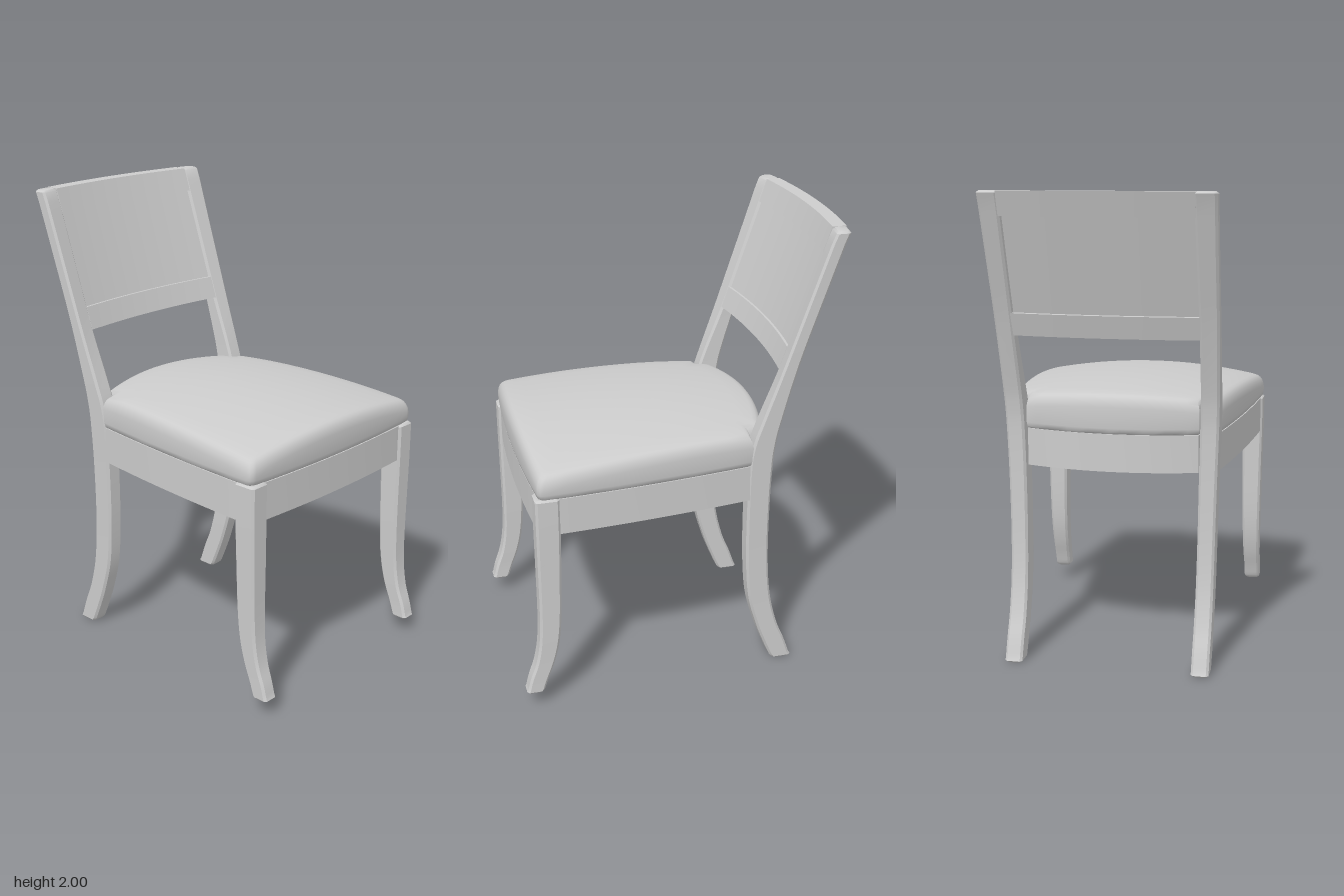
import * as THREE from 'three';
import { toCreasedNormals } from 'three/addons/utils/BufferGeometryUtils.js';

const paint = new THREE.MeshStandardMaterial({ color: 0xcccccc });
paint.name = 'pale grey';

// Closed skin over rising rings of equal length, capped at both ends
function loft(rings, crease) {
  const n = rings[0].length, pos = rings.flat().flatMap(p => [p.x, p.y, p.z]), idx = [];
  for (let j = 0; j < rings.length - 1; j++)
    for (let i = 0; i < n; i++) {
      const a = j * n + i, b = j * n + (i + 1) % n;
      idx.push(a, b, b + n, a, b + n, a + n);
    }
  [rings[0], rings.at(-1)].forEach((ring, end) => {
    const c = ring.reduce((s, p) => s.add(p), new THREE.Vector3()).divideScalar(n);
    const base = end ? (rings.length - 1) * n : 0, ci = pos.length / 3;
    pos.push(c.x, c.y, c.z);
    for (let i = 0; i < n; i++) {
      const a = base + i, b = base + (i + 1) % n;
      end ? idx.push(a, b, ci) : idx.push(b, a, ci);
    }
  });
  const g = new THREE.BufferGeometry();
  g.setAttribute('position', new THREE.Float32BufferAttribute(pos, 3));
  g.setIndex(idx);
  return toCreasedNormals(g, crease);
}

// The backrest leans backwards and bows away in the middle
const lean = y => -0.605 + (2 - y) * 0.341;
const bow = x => 0.04 * (1 - (x / 0.475) ** 2);

// Leg with a bevelled square section; stations are [y, zFront, zBack, xInner, xOuter]
function leg(stations, side, steps, bowed) {
  const path = (xi, zi) => new THREE.CatmullRomCurve3(
    stations.map(s => new THREE.Vector3(s[xi], s[0], s[zi])), false, 'catmullrom', 0.5);
  const inner = path(3, 1), outer = path(4, 2), rings = [];
  const section = (t, shrink, dy) => {
    const a = inner.getPoint(t), b = outer.getPoint(t), r = 0.01, y = a.y + dy;
    const xi = a.x + shrink, xo = b.x - shrink, zf = a.z - shrink, zb = b.z + shrink;
    const w = bowed ? THREE.MathUtils.smoothstep(y, 1.15, 1.45) : 0;
    const ring = [[xi + r, zf], [xo - r, zf], [xo, zf - r], [xo, zb + r],
      [xo - r, zb], [xi + r, zb], [xi, zb + r], [xi, zf - r]]
      .map(([x, z]) => new THREE.Vector3(x * side, y, z - w * bow(x)));
    rings.push(side > 0 ? ring : ring.reverse());
  };
  section(0, 0.008, 0);
  for (let i = 0; i <= steps; i++) section(i / steps, 0, i === 0 ? 0.008 : i === steps ? -0.008 : 0);
  section(1, 0.008, 0);
  return loft(rings, 0.6);
}

// Seat plan: bowed front, tapering sides, notches for the back posts, rounded back
function seatOutline() {
  const half = [];
  for (let i = 0; i <= 8; i++) half.push([i / 16, 0.655 - 0.022 * (i / 8) ** 2]);
  half.push([0.515, 0.63], [0.526, 0.62], [0.53, 0.605]);
  for (let i = 1; i <= 10; i++) {
    const u = 1 - i / 10;
    half.push([0.45 + 0.08 * u + 0.048 * u * (1 - u), -0.3 + 0.9 * u]);
  }
  half.push([0.378, -0.305], [0.37, -0.365]);
  for (let i = 7; i >= 0; i--) {
    const x = 0.37 * i / 8;
    half.push([x, -0.425 + 0.06 * (x / 0.37) ** 2]);
  }
  return [...half, ...half.slice(1, -1).reverse().map(([x, z]) => [-x, z])];
}
const scaled = (pts, s) => pts.map(([x, z]) => [x * s, 0.1 + (z - 0.1) * s]);

// Domed upholstery
function cushionGeometry(outline) {
  const dome = (x, z) => 1.188 - 0.05 * (x / 0.5) ** 2
    - (z > 0 ? 0.035 * (z / 0.62) ** 2 : 0.022 * (z / 0.4) ** 2);
  const ring = (s, height) => scaled(outline, s)
    .map(([x, z]) => new THREE.Vector3(x, height(x, z), z));
  const rings = [ring(0.98, () => 1), ring(0.992, () => 1.006), ring(1, () => 1.025)];
  for (const [s, drop] of [[1, 0.05], [0.995, 0.034], [0.985, 0.02], [0.97, 0.009], [0.95, 0.003],
    [0.92, 0], [0.8, 0], [0.65, 0], [0.5, 0], [0.35, 0], [0.2, 0], [0.08, 0]])
    rings.push(ring(s, (x, z) => dome(x, z) - drop));
  return loft(rings, 0.9);
}

// Open apron frame under the cushion
function apronGeometry(outline) {
  const plan = s => scaled(outline, s).map(([x, z]) => new THREE.Vector2(x, -z));
  const shape = new THREE.Shape(plan(0.99));
  shape.holes.push(new THREE.Path(plan(0.9)));
  const g = new THREE.ExtrudeGeometry(shape, { depth: 0.16, bevelEnabled: false });
  g.rotateX(-Math.PI / 2).translate(0, 0.84, 0);
  return toCreasedNormals(g, 0.5);
}

// Board following the lean and bow of the backrest
function backBoard(y0, y1, depth0, depth1) {
  const g = new THREE.BoxGeometry(0.784, y1 - y0, depth1 - depth0, 24, 1, 1);
  g.translate(0, (y0 + y1) / 2, -(depth0 + depth1) / 2);
  const p = g.attributes.position;
  for (let i = 0; i < p.count; i++)
    p.setZ(i, p.getZ(i) + lean(p.getY(i)) - bow(p.getX(i)));
  return toCreasedNormals(g, 0.5);
}

export function createModel() {
  const chair = new THREE.Group();
  chair.name = 'diningChair';
  const add = (name, geometry) => {
    const m = new THREE.Mesh(geometry, paint);
    m.name = name;
    chair.add(m);
  };

  const outline = seatOutline();
  add('seatCushion', cushionGeometry(outline));
  add('apron', apronGeometry(outline));

  const frontLeg = [
    [0.07, 0.71, 0.637, 0.45, 0.52], [0.14, 0.692, 0.614, 0.45, 0.52],
    [0.22, 0.665, 0.585, 0.447, 0.521], [0.32, 0.648, 0.562, 0.445, 0.523],
    [0.45, 0.642, 0.55, 0.442, 0.525], [0.65, 0.642, 0.545, 0.44, 0.528],
    [0.84, 0.643, 0.542, 0.44, 0.531], [1.003, 0.643, 0.542, 0.44, 0.531]];
  const backPost = [
    [0, -0.424, -0.515, 0.365, 0.44], [0.1, -0.382, -0.48, 0.365, 0.44],
    [0.2, -0.345, -0.44, 0.365, 0.44], [0.35, -0.305, -0.405, 0.366, 0.44],
    [0.55, -0.288, -0.388, 0.368, 0.442], [0.8, -0.284, -0.385, 0.371, 0.447],
    [1, -0.286, -0.39, 0.375, 0.453], [1.1, -0.3, -0.4, 0.378, 0.456],
    [1.2, -0.332, -0.42, 0.381, 0.459], [1.45, lean(1.45), lean(1.45) - 0.066, 0.385, 0.465],
    [1.75, lean(1.75), lean(1.75) - 0.063, 0.386, 0.47], [2, lean(2), lean(2) - 0.062, 0.386, 0.475]];
  for (const [label, side] of [['left', 1], ['right', -1]]) {
    add(label + 'FrontLeg', leg(frontLeg, side, 28, false));
    add(label + 'BackPost', leg(backPost, side, 55, true));
  }

  // Backrest rails with a recessed panel between them
  add('topRail', backBoard(1.9, 2, 0, 0.06));
  add('lowerRail', backBoard(1.41, 1.505, 0, 0.06));
  add('backPanel', backBoard(1.5, 1.905, 0.01, 0.03));
  return chair;
}
